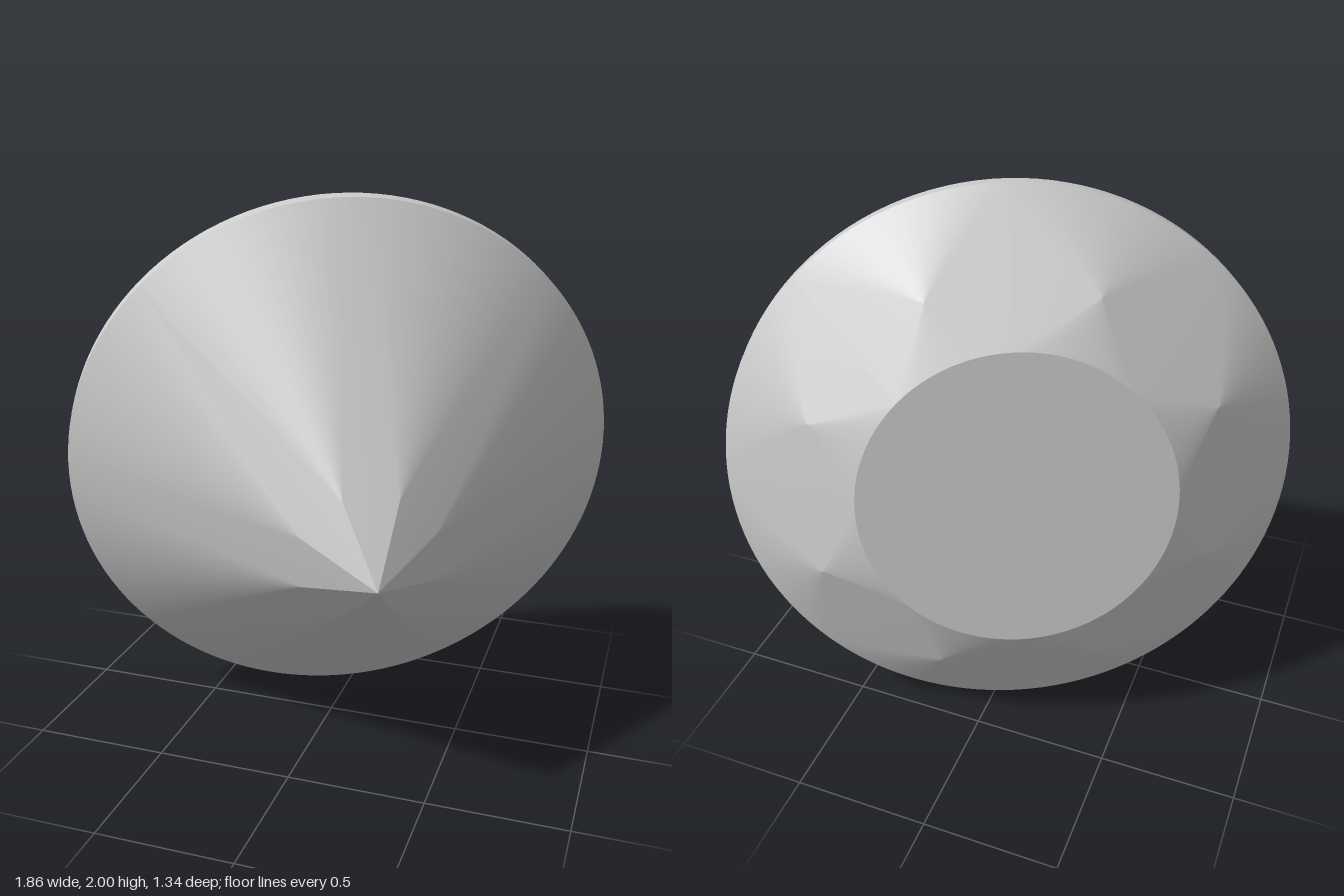
import * as THREE from 'three';
import { toCreasedNormals } from 'three/addons/utils/BufferGeometryUtils.js';

const R = 1.01;        // girdle radius
const HALF = 0.027;    // half the girdle thickness
const TABLE_R = 0.545;
const TABLE_H = 0.34;
const CULET = 0.885;
const STEPS = 16;      // arc steps per facet sector
const SECTOR = Math.PI / 4;

const polar = (r, y, a) => new THREE.Vector3(r * Math.cos(a), y, -r * Math.sin(a));

// Eight kites from an inner rim (or point) to the girdle, with fans between them.
function facetRing(innerR, innerY, midR) {
  const pts = [];
  const tri = (...corners) => corners.forEach((p) => pts.push(p.x, p.y, p.z));
  // keep the kites planar
  const t = (midR * Math.cos(SECTOR / 2) - innerR) / (R - innerR);
  const midY = innerY + (HALF - innerY) * t;
  for (let i = 0; i < 8; i++) {
    const a = i * SECTOR;
    const before = polar(midR, midY, a - SECTOR / 2);
    const after = polar(midR, midY, a + SECTOR / 2);
    const inner = polar(innerR, innerY, a);
    const outer = polar(R, HALF, a);
    // kite
    tri(inner, before, outer);
    tri(inner, outer, after);
    // fans to the girdle and to the inner rim
    for (let j = 0; j < STEPS; j++) {
      const a0 = a + (SECTOR * j) / STEPS;
      const a1 = a + (SECTOR * (j + 1)) / STEPS;
      tri(after, polar(R, HALF, a0), polar(R, HALF, a1));
      if (innerR > 0) tri(after, polar(innerR, innerY, a1), polar(innerR, innerY, a0));
    }
  }
  const g = new THREE.BufferGeometry();
  g.setAttribute('position', new THREE.Float32BufferAttribute(pts, 3));
  return toCreasedNormals(g, 0.06);
}

export function createModel() {
  const material = new THREE.MeshStandardMaterial({ color: 0xcccccc });
  const gem = new THREE.Group();
  gem.name = 'cutGem';
  const add = (name, geometry) => {
    const mesh = new THREE.Mesh(geometry, material);
    mesh.name = name;
    gem.add(mesh);
    return mesh;
  };

  // flat round table
  const table = add('table', new THREE.CircleGeometry(TABLE_R, 8 * STEPS));
  table.rotation.x = -Math.PI / 2;
  table.position.y = TABLE_H;

  // faceted crown, thin girdle band, pointed pavilion
  add('crown', facetRing(TABLE_R, TABLE_H, 0.74));
  add('girdle', new THREE.CylinderGeometry(R, R, 2 * HALF, 8 * STEPS, 1, true));
  add('pavilion', facetRing(0, CULET, 0.24)).rotation.x = Math.PI;

  // tilt so the table faces back and the point faces forward
  const up = new THREE.Vector3(-0.418, 0.17, -0.893).normalize();
  const side = new THREE.Vector3(-up.z, 0, up.x).normalize();
  const depth = new THREE.Vector3().crossVectors(side, up);
  gem.quaternion.setFromRotationMatrix(new THREE.Matrix4().makeBasis(side, up, depth));
  gem.position.set(0, 1, -0.125);

  const model = new THREE.Group();
  model.name = 'gem';
  model.add(gem);
  return model;
}
